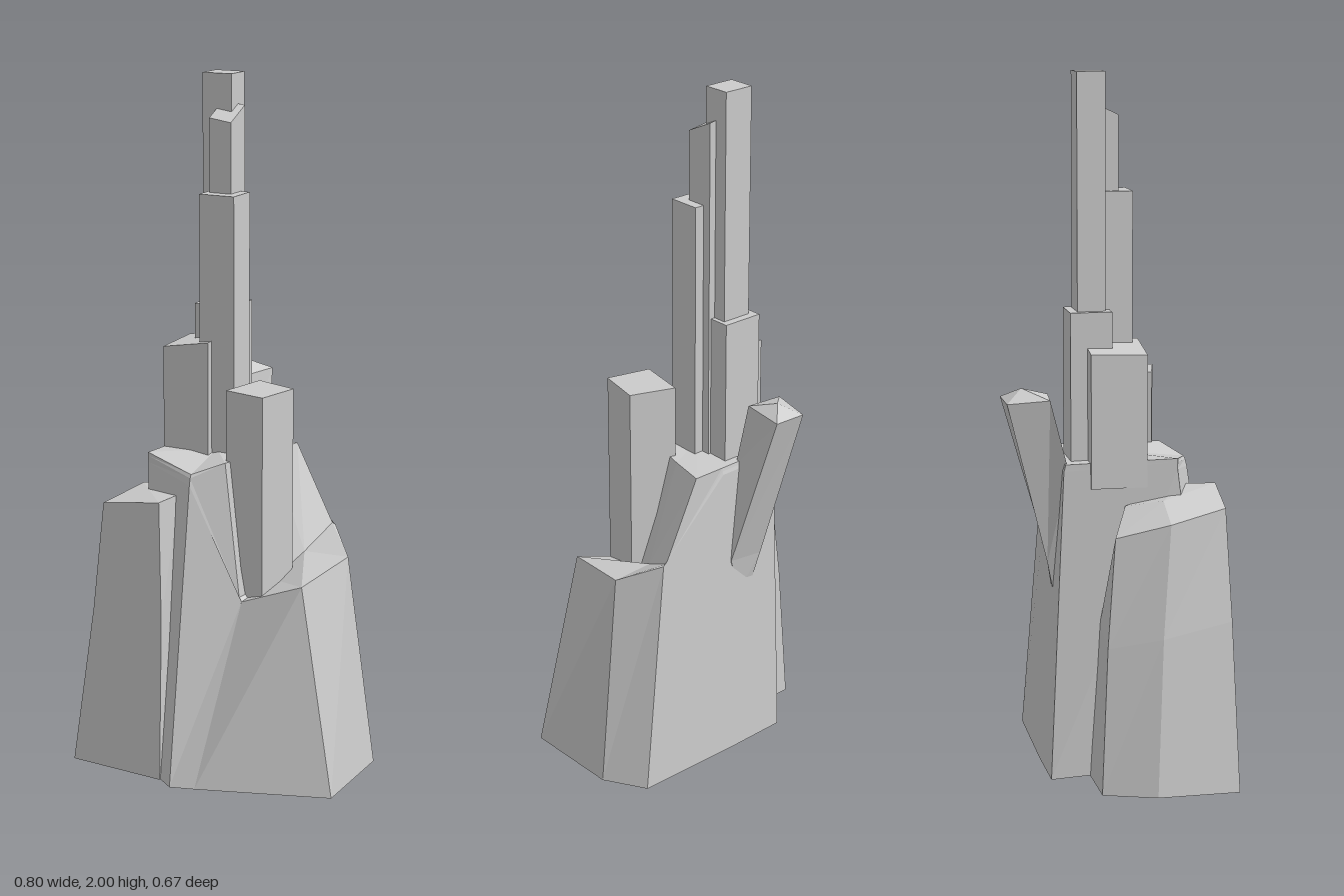
import * as THREE from 'three';

const stone = new THREE.MeshStandardMaterial({ color: 0xcccccc, flatShading: true, side: THREE.DoubleSide });

// Skins equal-length rings of [x, y, z] from bottom to top, closing the top with a fan. The base stays open.
function loft(name, rings, peak) {
  const n = rings[0].length;
  const top = rings[rings.length - 1];
  const centre = peak || [0, 1, 2].map(k => top.reduce((sum, p) => sum + p[k], 0) / n);
  const positions = [];
  const tri = (a, b, c) => positions.push(...a, ...b, ...c);
  for (let i = 0; i < n; i++) {
    const j = (i + 1) % n;
    for (let r = 0; r < rings.length - 1; r++) {
      tri(rings[r][i], rings[r][j], rings[r + 1][j]);
      tri(rings[r][i], rings[r + 1][j], rings[r + 1][i]);
    }
    tri(top[i], top[j], centre);
  }
  const geometry = new THREE.BufferGeometry();
  geometry.setAttribute('position', new THREE.Float32BufferAttribute(positions, 3));
  geometry.computeVertexNormals();
  const mesh = new THREE.Mesh(geometry, stone);
  mesh.name = name;
  return mesh;
}

// Upright pillar over an [x, z] outline, with one top height per corner
function pillar(name, outline, bottom, heights) {
  return loft(name, [
    outline.map(([x, z]) => [x, bottom, z]),
    outline.map(([x, z], i) => [x, heights[i], z]),
  ]);
}

// Corners run front left, front right, back right, back left as seen from the front
const rect = (x0, x1, z0, z1) => [[x0, z1], [x1, z1], [x1, z0], [x0, z0]];

export function createModel() {
  const model = new THREE.Group();
  model.name = 'rockSpire';

  // Main crag: base, shoulder, foot of the inner cliff, plateau
  model.add(loft('mainCrag', [
    [[-0.14, 0, 0.27], [-0.05, 0, 0.335], [0.02, 0, 0.315], [0.395, 0, 0.19],
      [0.395, 0, -0.105], [0.325, 0, -0.225], [-0.02, 0, -0.225], [-0.2, 0, -0.22]],
    [[-0.22, 0.9, 0.14], [-0.05, 0.87, 0.205], [0.09, 0.53, 0.155], [0.275, 0.6, 0.145],
      [0.315, 0.63, -0.08], [0.225, 0.685, -0.185], [0, 0.9, -0.185], [-0.2, 0.9, -0.18]],
    [[-0.22, 0.92, 0.14], [-0.05, 0.89, 0.2], [0.08, 0.54, 0.15], [0.135, 0.57, 0.04],
      [0.18, 0.63, -0.07], [0.215, 0.69, -0.185], [0, 0.91, -0.182], [-0.2, 0.91, -0.177]],
    [[-0.22, 0.93, 0.14], [-0.05, 0.9, 0.195], [0.03, 0.93, 0.14], [0.05, 0.925, 0.04],
      [0.075, 0.92, -0.07], [0.1, 0.92, -0.182], [0, 0.92, -0.18], [-0.2, 0.92, -0.175]],
  ], [-0.07, 0.925, 0]));

  // Lower crag beside it
  model.add(loft('sideCrag', [
    [[-0.4, 0, 0.285], [-0.1, 0, 0.303], [-0.1, 0, 0.15], [-0.19, 0, -0.105], [-0.35, 0, -0.1], [-0.4, 0, 0.05]],
    [[-0.33, 0.48, 0.275], [-0.1, 0.48, 0.285], [-0.1, 0.48, 0.15], [-0.2, 0.45, -0.08],
      [-0.33, 0.42, -0.08], [-0.37, 0.45, 0.07]],
    [[-0.3, 0.8, 0.26], [-0.11, 0.83, 0.275], [-0.1, 0.83, 0.18], [-0.22, 0.8, -0.01],
      [-0.31, 0.73, -0.055], [-0.345, 0.77, 0.095]],
  ], [-0.265, 0.82, 0.09]));

  // Freestanding pillar on the shoulder
  model.add(pillar('shoulderPillar', [[0.02, 0.115], [0.15, 0.145], [0.18, 0.01], [0.05, -0.035]],
    0.45, [1.135, 1.135, 1.135, 1.135]));

  // Slab leaning outwards at the back, narrowing downwards
  model.add(loft('leaningSlab', [
    [[-0.14, 0.52, -0.12], [-0.05, 0.52, -0.12], [-0.06, 0.5, -0.19], [-0.1, 0.5, -0.19]],
    [[-0.19, 0.9, -0.165], [-0.065, 0.9, -0.165], [-0.02, 0.62, -0.2], [-0.12, 0.62, -0.215]],
    [[-0.185, 1.1, -0.215], [-0.075, 1.1, -0.205], [-0.06, 1.095, -0.338], [-0.165, 1.09, -0.333]],
  ], [-0.11, 1.125, -0.285]));

  // Stepped pillars of the central tower: outline, then corner heights
  const steps = [
    ['lowPillar', rect(-0.215, -0.07, -0.105, 0.055), [1.225, 1.25, 1.255, 1.23]],
    ['backPillar', rect(-0.16, -0.035, -0.153, -0.035), [1.34, 1.34, 1.34, 1.34]],
    ['middlePillar', rect(-0.108, 0.002, -0.065, 0.033), [1.67, 1.67, 1.67, 1.67]],
    ['upperPillar', rect(-0.095, -0.027, -0.09, -0.005), [1.88, 1.87, 1.91, 1.92]],
    ['topPillar', rect(-0.14, -0.048, -0.13, -0.05), [2, 2, 2, 2]],
  ];
  for (const [name, outline, heights] of steps) model.add(pillar(name, outline, 0.85, heights));

  return model;
}
